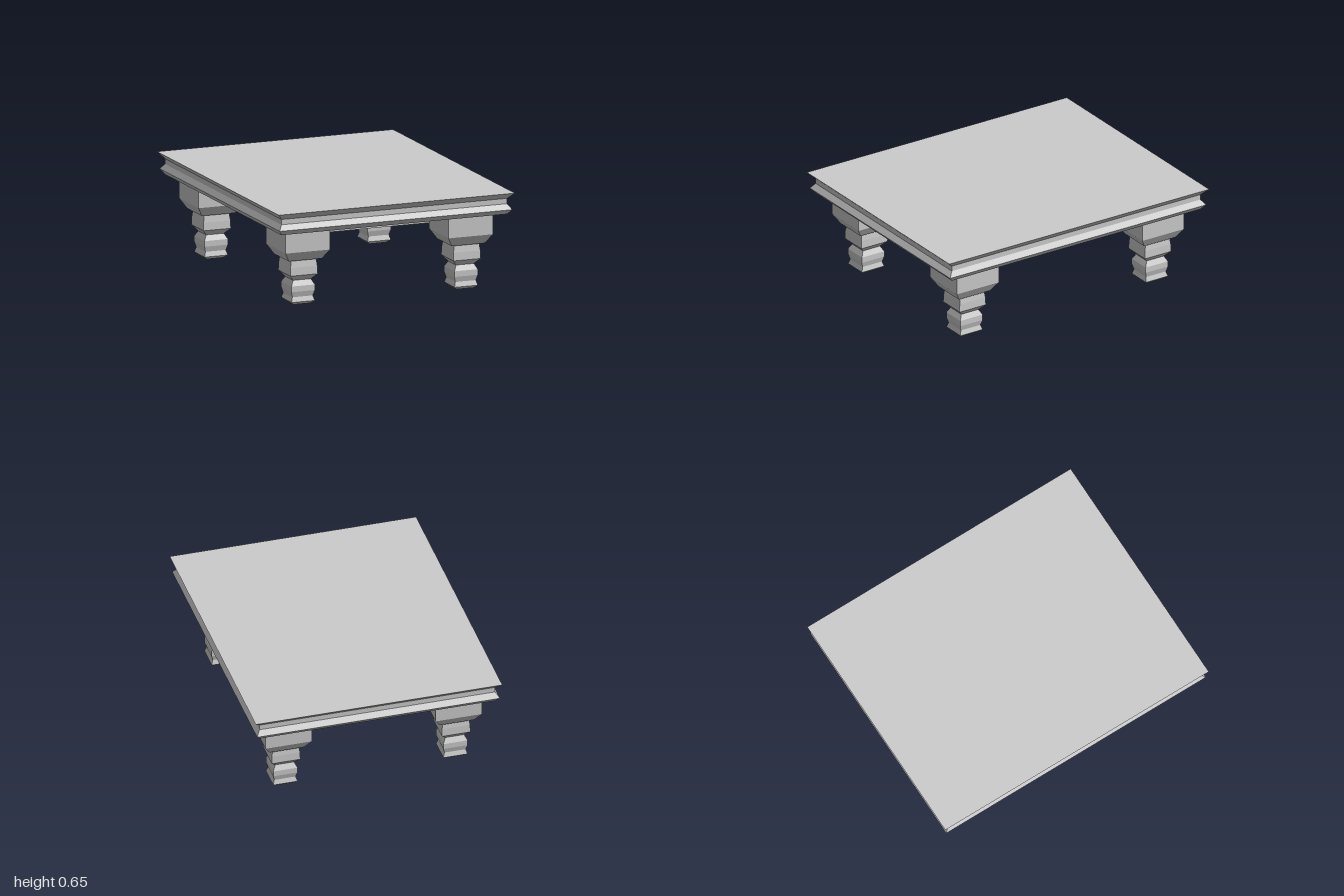
import * as THREE from 'three';

const material = new THREE.MeshStandardMaterial({ color: 0xcccccc, flatShading: true });

// Closed square-section solid from [half width, height] pairs, listed bottom to top.
function squareTurned(name, profile, depthRatio) {
  const points = profile.map(([half, y]) => new THREE.Vector2(half * Math.SQRT2, y));
  points.unshift(new THREE.Vector2(0, profile[0][1]));
  points.push(new THREE.Vector2(0, profile[profile.length - 1][1]));
  const geometry = new THREE.LatheGeometry(points, 4)
    .rotateY(Math.PI / 4)
    .scale(1, 1, depthRatio)
    .toNonIndexed();
  geometry.computeVertexNormals();
  const mesh = new THREE.Mesh(geometry, material);
  mesh.name = name;
  return mesh;
}

export function createModel() {
  const table = new THREE.Group();
  table.name = 'lowTable';

  // Moulded tabletop
  table.add(squareTurned('tabletop', [
    [0.784, 0.507], [0.808, 0.54], [0.784, 0.575], [0.784, 0.61], [0.82, 0.65],
  ], 1 / 0.82));

  // Solid apron block under the top, running between the legs
  const apron = new THREE.Mesh(new THREE.BoxGeometry(0.83, 0.112, 1.12), material);
  apron.name = 'apron';
  apron.position.y = 0.456;
  table.add(apron);

  // Legs: tapered square block above a stepped, square-cut foot
  const footProfile = [
    [0.058, 0], [0.081, 0.02], [0.071, 0.052], [0.081, 0.088], [0.081, 0.125],
    [0.062, 0.16], [0.095, 0.197], [0.093, 0.25], [0.086, 0.302],
  ];
  const blockProfile = [[0.115, 0.3], [0.154, 0.363], [0.154, 0.508]];
  for (const [front, z] of [['front', 0.713], ['back', -0.713]]) {
    for (const [side, x] of [['Left', 0.566], ['Right', -0.566]]) {
      const leg = new THREE.Group();
      leg.name = front + side + 'Leg';
      leg.add(squareTurned('legBlock', blockProfile, 1.045));
      leg.add(squareTurned('legFoot', footProfile, 1.06));
      leg.position.set(x, 0, z);
      table.add(leg);
    }
  }
  return table;
}
